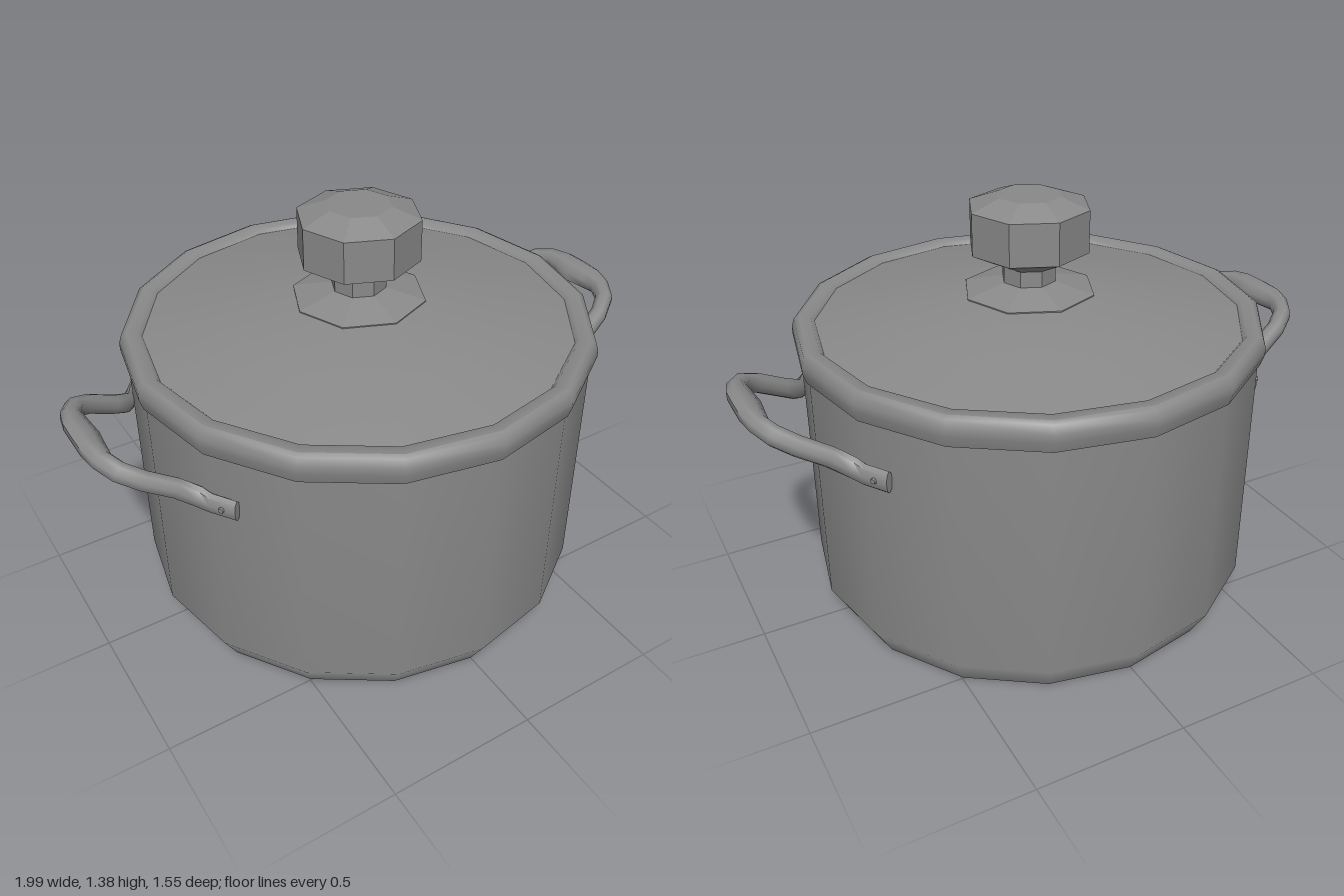
import * as THREE from 'three';
import { toCreasedNormals } from 'three/addons/utils/BufferGeometryUtils.js';

const COLOR = 0x898989;
const steel = new THREE.MeshStandardMaterial({ color: COLOR, side: THREE.DoubleSide });
const facetedSteel = new THREE.MeshStandardMaterial({ color: COLOR, flatShading: true });

function part(name, geometry, material = steel) {
  const mesh = new THREE.Mesh(geometry, material);
  mesh.name = name;
  return mesh;
}

// profile of [radius, y] pairs turned around the y axis; a repeated pair gives a hard edge
function turned(profile, sides) {
  return new THREE.LatheGeometry(profile.map(([r, y]) => new THREE.Vector2(r, y)), sides);
}

// half of the handle, from grip centre to foot: x, y, z, half height, half depth
const HALF = [
  [0.953, 0.861, 0, 0.035, 0.05],
  [0.956, 0.862, 0.07, 0.034, 0.045],
  [0.952, 0.859, 0.13, 0.033, 0.034],
  [0.925, 0.845, 0.185, 0.034, 0.031],
  [0.87, 0.815, 0.222, 0.034, 0.029],
  [0.785, 0.767, 0.245, 0.034, 0.029],
  [0.73, 0.732, 0.275, 0.035, 0.026],
  [0.703, 0.718, 0.31, 0.038, 0.018],
  [0.655, 0.716, 0.38, 0.038, 0.015],
];

// elliptical sections swept along the handle path, closed at both feet
function handleGeometry(sides = 8) {
  const path = [...HALF.slice(1).reverse().map(([x, y, z, a, b]) => [x, y, -z, a, b]), ...HALF];
  const last = path.length - 1;
  const at = (i) => new THREE.Vector3(...path[THREE.MathUtils.clamp(i, 0, last)].slice(0, 3));
  const rings = path.map(([, , z, a, b], i) => {
    const tangent = at(i + 1).sub(at(i - 1)).normalize();
    // the section tilts with the grip and stands upright at the foot
    const tilt = 0.52 * (1 - THREE.MathUtils.smoothstep(Math.abs(z), 0.24, 0.31));
    const up = new THREE.Vector3(-Math.sin(tilt), Math.cos(tilt), 0);
    const out = up.clone().cross(tangent).normalize();
    up.crossVectors(tangent, out);
    return Array.from({ length: sides }, (_, k) => {
      const t = (k / sides) * Math.PI * 2;
      return at(i).addScaledVector(out, b * Math.cos(t)).addScaledVector(up, a * Math.sin(t));
    });
  });
  const pos = [];
  const tri = (...corners) => corners.forEach((v) => pos.push(v.x, v.y, v.z));
  for (let k = 0; k < sides; k++) {
    const n = (k + 1) % sides;
    for (let i = 0; i < last; i++) {
      const [p, q] = [rings[i], rings[i + 1]];
      tri(p[k], p[n], q[n]);
      tri(p[k], q[n], q[k]);
    }
    tri(at(0), rings[0][n], rings[0][k]);
    tri(at(last), rings[last][k], rings[last][n]);
  }
  const geometry = new THREE.BufferGeometry();
  geometry.setAttribute('position', new THREE.Float32BufferAttribute(pos, 3));
  return toCreasedNormals(geometry, 1.0);
}

function createHandle(name) {
  const handle = new THREE.Group();
  handle.name = name;
  handle.add(part('handleBar', handleGeometry()));
  // one rivet through each foot, square to the pot wall
  for (const side of [-1, 1]) {
    const rivet = part('rivet', new THREE.CylinderGeometry(0.008, 0.013, 0.014, 8), facetedSteel);
    const normal = new THREE.Vector3(0.83, 0, 0.56 * side).normalize();
    rivet.position.set(0.692, 0.717, 0.352 * side);
    rivet.quaternion.setFromUnitVectors(new THREE.Vector3(0, 1, 0), normal);
    handle.add(rivet);
  }
  return handle;
}

export function createModel() {
  const pot = new THREE.Group();
  pot.name = 'cookingPot';

  // pot wall with a flat base and a softened chamfer above it
  pot.add(part('body', turned(
    [[0, 0], [0.703, 0], [0.703, 0], [0.757, 0.095], [0.757, 0.91]], 16)));

  // rounded rim band with a hard lower lip and inner edge
  pot.add(part('rim', turned([
    [0.75, 0.89], [0.765, 0.89], [0.765, 0.89], [0.776, 0.925], [0.776, 0.95],
    [0.767, 0.978], [0.752, 0.985], [0.752, 0.985], [0.715, 0.983], [0.7, 0.965],
  ], 16)));

  // shallow sloping lid
  pot.add(part('lid', turned(
    [[0.72, 0.962], [0.7, 0.968], [0.46, 1.015], [0.22, 1.056], [0, 1.062]], 16)));

  // faceted collar, neck and knob
  pot.add(part('lidKnob', turned([
    [0, 1.05], [0.22, 1.05], [0.22, 1.06], [0.09, 1.092], [0.09, 1.145],
    [0.2, 1.2], [0.2, 1.34], [0.105, 1.375], [0, 1.375],
  ], 8), facetedSteel));

  // two matching side handles
  pot.add(createHandle('leftHandle'));
  const right = createHandle('rightHandle');
  right.rotation.y = Math.PI;
  pot.add(right);
  return pot;
}
